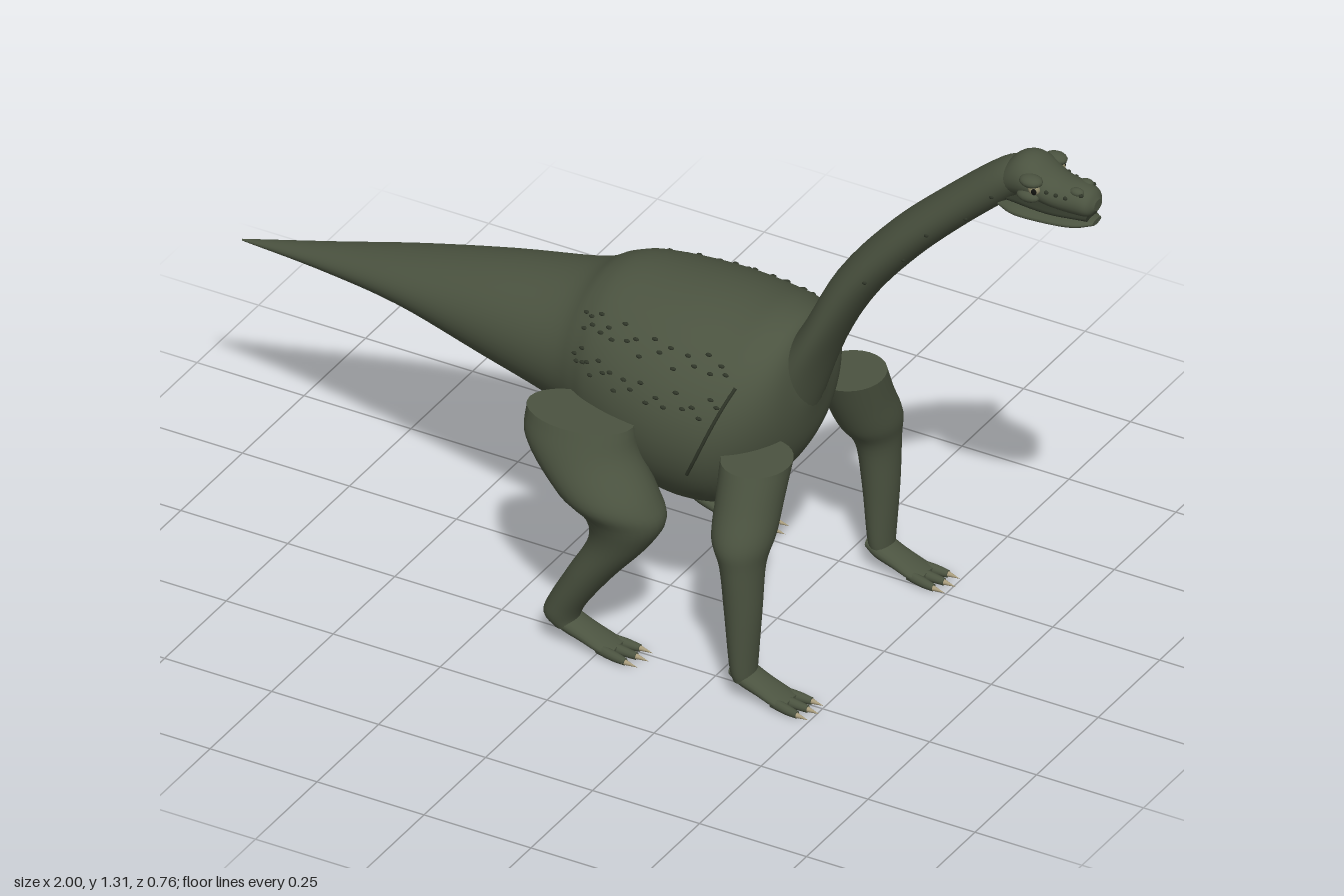
import * as THREE from 'three';

const mat = (name, color, side = THREE.FrontSide) => {
  const m = new THREE.MeshStandardMaterial({ color, side });
  m.name = name;
  return m;
};

// Smooth sampler over sections [x, y, z, radiusU, radiusV, tilt in degrees]
function sampler(sections) {
  const path = new THREE.CatmullRomCurve3(sections.map(s => new THREE.Vector3(s[0], s[1], s[2])), false, 'catmullrom', 0.5);
  const size = new THREE.CatmullRomCurve3(sections.map(s => new THREE.Vector3(s[3], s[4], s[5])), false, 'catmullrom', 0.5);
  return (t, angle) => {
    const c = path.getPoint(t), r = size.getPoint(t);
    const a = THREE.MathUtils.degToRad(r.z);
    const u = Math.max(r.x, 0.001) * Math.cos(angle);
    return new THREE.Vector3(c.x + u * Math.cos(a), c.y + u * Math.sin(a),
      c.z + Math.max(r.y, 0.001) * Math.sin(angle));
  };
}

// Skin lofted through elliptical sections, with flat end caps
function loft(sections, sides = 32, steps = 5) {
  const at = sampler(sections), rows = (sections.length - 1) * steps;
  const pos = [], index = [];
  for (let i = 0; i <= rows; i++)
    for (let j = 0; j < sides; j++) pos.push(...at(i / rows, (j / sides) * Math.PI * 2).toArray());
  for (let i = 0; i < rows; i++)
    for (let j = 0; j < sides; j++) {
      const a = i * sides + j, b = i * sides + (j + 1) % sides;
      index.push(a, b, a + sides, b, b + sides, a + sides);
    }
  for (const end of [0, 1]) {
    const base = pos.length / 3, mid = new THREE.Vector3();
    for (let j = 0; j < sides; j++) {
      const p = at(end, (j / sides) * Math.PI * 2);
      mid.addScaledVector(p, 1 / sides);
      pos.push(...p.toArray());
    }
    pos.push(...mid.toArray());
    for (let j = 0; j < sides; j++) {
      const a = base + j, b = base + (j + 1) % sides;
      index.push(base + sides, end ? a : b, end ? b : a);
    }
  }
  const g = new THREE.BufferGeometry();
  g.setAttribute('position', new THREE.Float32BufferAttribute(pos, 3));
  g.setIndex(index);
  g.computeVertexNormals();
  return g;
}

export function createModel() {
  const skin = mat('olive skin', 0x4b5340);
  const dark = mat('dark scales', 0x2f3528);
  const claw = mat('claw horn', 0xa89c7c);
  const eyeMat = mat('eye', 0x8c8768);
  const pupilMat = mat('pupil', 0x11120f);
  const model = new THREE.Group();
  model.name = 'longNeckedDinosaur';

  const add = (parent, name, geo, material, p) => {
    const m = new THREE.Mesh(geo, material);
    m.name = name;
    if (p) m.position.set(...p);
    parent.add(m);
    return m;
  };
  const blob = (parent, name, material, p, s) => {
    const m = add(parent, name, new THREE.SphereGeometry(1, 14, 10), material, p);
    m.scale.set(...s);
    return m;
  };
  // Sections lying across the x axis
  const across = list => list.map(([x, y, ry, rz, z = 0]) => [x, y, z, ry, rz, 90]);

  // Tail and trunk in one skin
  const bodySections = across([
    [-1, 0.515, 0.002, 0.002], [-0.8, 0.54, 0.026, 0.042], [-0.6, 0.56, 0.056, 0.088],
    [-0.4, 0.56, 0.104, 0.128], [-0.2, 0.555, 0.15, 0.165], [-0.13, 0.55, 0.19, 0.19],
    [-0.08, 0.543, 0.212, 0.215], [0, 0.534, 0.225, 0.24], [0.1, 0.525, 0.235, 0.253],
    [0.2, 0.53, 0.225, 0.243], [0.27, 0.56, 0.192, 0.205], [0.32, 0.59, 0.14, 0.14],
    [0.343, 0.6, 0.05, 0.05]]);
  add(model, 'bodyAndTail', loft(bodySections, 48), skin);

  // Neck
  const neckSections = [
    [0.27, 0.55, 0, 0.07, 0.09, 165], [0.357, 0.72, 0, 0.043, 0.088, 160],
    [0.44, 0.875, 0, 0.045, 0.078, 150], [0.55, 1.012, 0, 0.045, 0.068, 140],
    [0.67, 1.13, 0, 0.043, 0.058, 133], [0.79, 1.235, 0, 0.042, 0.05, 122],
    [0.84, 1.262, 0, 0.035, 0.045, 105]];
  add(model, 'neck', loft(neckSections), skin);

  // Head
  const head = new THREE.Group();
  head.name = 'head';
  model.add(head);
  add(head, 'skull', loft(across([
    [0.78, 1.235, 0.03, 0.038], [0.82, 1.258, 0.046, 0.052], [0.86, 1.262, 0.046, 0.056],
    [0.91, 1.243, 0.036, 0.048], [0.96, 1.238, 0.034, 0.04], [0.987, 1.235, 0.028, 0.034],
    [1, 1.233, 0.012, 0.016]]), 28), skin);
  add(head, 'lowerJaw', loft(across([
    [0.785, 1.187, 0.01, 0.035], [0.83, 1.187, 0.015, 0.052], [0.9, 1.187, 0.014, 0.049],
    [0.96, 1.19, 0.012, 0.04], [0.997, 1.193, 0.006, 0.018]]), 24), skin);
  add(head, 'mouthLining', loft(across([
    [0.8, 1.206, 0.012, 0.034], [0.9, 1.206, 0.012, 0.042], [0.985, 1.204, 0.01, 0.024]]), 20), dark);
  for (const s of [1, -1]) {
    blob(head, 'brow', skin, [0.872, 1.278, s * 0.05], [0.026, 0.013, 0.02]);
    blob(head, 'cheek', skin, [0.865, 1.24, s * 0.05], [0.026, 0.013, 0.014]);
    blob(head, 'eye', eyeMat, [0.88, 1.26, s * 0.051], [0.013, 0.011, 0.011]);
    blob(head, 'pupil', pupilMat, [0.884, 1.26, s * 0.06], [0.006, 0.007, 0.004]);
    blob(head, 'nostrilBump', skin, [0.962, 1.263, s * 0.02], [0.016, 0.009, 0.011]);
    blob(head, 'nostril', dark, [0.975, 1.261, s * 0.026], [0.005, 0.004, 0.005]);
    for (let i = 0; i < 3; i++)
      blob(head, 'snoutScale', dark, [0.905 + i * 0.02, 1.258 - i * 0.003, s * (0.046 - i * 0.004)], [0.005, 0.004, 0.004]);
  }

  // Rows of small scales and a shoulder fold on each flank
  const bodyAt = sampler(bodySections), neckAt = sampler(neckSections);
  for (const s of [1, -1]) {
    for (let row = 0; row < 4; row++)
      for (let i = 0; i < 11; i++) {
        const t = (5.2 + i * 0.4 + (row % 2) * 0.2) / 12;
        const angle = [0.74, 0.86, 1.14, 1.24][row] + 0.05 * Math.sin(i * 2.7 + row);
        const p = bodyAt(t, s * angle);
        blob(model, 'flankScale', dark, p.toArray(), [0.007, 0.004, 0.004]);
      }
    for (let i = 0; i < 5; i++)
      blob(model, 'neckScale', dark, neckAt(0.4 + i * 0.1, s * (1.9 + 0.4 * (i % 2))).toArray(), [0.005, 0.004, 0.003]);
    const fold = [];
    for (let i = 0; i <= 6; i++) fold.push(bodyAt((9.8 - i * 0.18) / 12, s * (1.02 + i * 0.145)));
    add(model, 'shoulderFold', new THREE.TubeGeometry(new THREE.CatmullRomCurve3(fold), 20, 0.004, 6), dark);
  }

  // Foot with splayed toes and claws, starting at the ankle
  function foot(parent, x, z, k) {
    const g = new THREE.Group();
    g.name = 'foot';
    g.position.set(x, 0, z);
    g.scale.x = k;
    parent.add(g);
    add(g, 'instep', loft(across([
      [-0.025, 0.06, 0.014, 0.026], [0, 0.052, 0.022, 0.034], [0.04, 0.036, 0.019, 0.034],
      [0.08, 0.021, 0.015, 0.036], [0.108, 0.014, 0.01, 0.032]]), 20), skin);
    for (const i of [-1, 0, 1]) {
      const reach = i ? 0 : 0.008;
      add(g, 'toe', loft(across([
        [0.075, 0.018, 0.012, 0.011, i * 0.022], [0.11, 0.014, 0.011, 0.011, i * 0.027],
        [0.138 + reach, 0.011, 0.008, 0.008, i * 0.03]]), 12), skin);
      const c = add(g, 'claw', new THREE.ConeGeometry(0.007, 0.032, 10), claw,
        [0.149 + reach, 0.009, i * 0.031]);
      c.rotation.z = -Math.PI / 2 - 0.12;
    }
  }

  // Legs as level sections from hip to ankle: [x, y, z, radius x, radius z]
  const hind = [
    [-0.06, 0.542, 0.258, 0.12, 0.075], [-0.05, 0.48, 0.268, 0.124, 0.09], [0.015, 0.4, 0.285, 0.11, 0.094],
    [0.055, 0.345, 0.28, 0.088, 0.076], [0.042, 0.28, 0.28, 0.064, 0.06], [-0.02, 0.19, 0.28, 0.05, 0.053],
    [-0.072, 0.11, 0.28, 0.042, 0.046], [-0.09, 0.07, 0.28, 0.038, 0.042], [-0.08, 0.045, 0.28, 0.024, 0.032]];
  const fore = [
    [0.312, 0.512, 0.19, 0.073, 0.08], [0.315, 0.44, 0.222, 0.068, 0.08], [0.32, 0.37, 0.256, 0.063, 0.078],
    [0.328, 0.31, 0.275, 0.045, 0.057], [0.332, 0.2, 0.28, 0.037, 0.045], [0.333, 0.08, 0.28, 0.027, 0.038],
    [0.336, 0.045, 0.28, 0.022, 0.032]];
  for (const [side, s] of [['right', 1], ['left', -1]])
    for (const [name, rings, footX, k] of [['HindLeg', hind, -0.08, 1.1], ['FrontLeg', fore, 0.335, 1]]) {
      const g = new THREE.Group();
      g.name = side + name;
      model.add(g);
      add(g, 'limb', loft(rings.map(([x, y, z, rx, rz]) => [x, y, z * s, rx, rz, 0]), 28), skin);
      foot(g, footX, s * 0.277, k);
    }
  return model;
}
